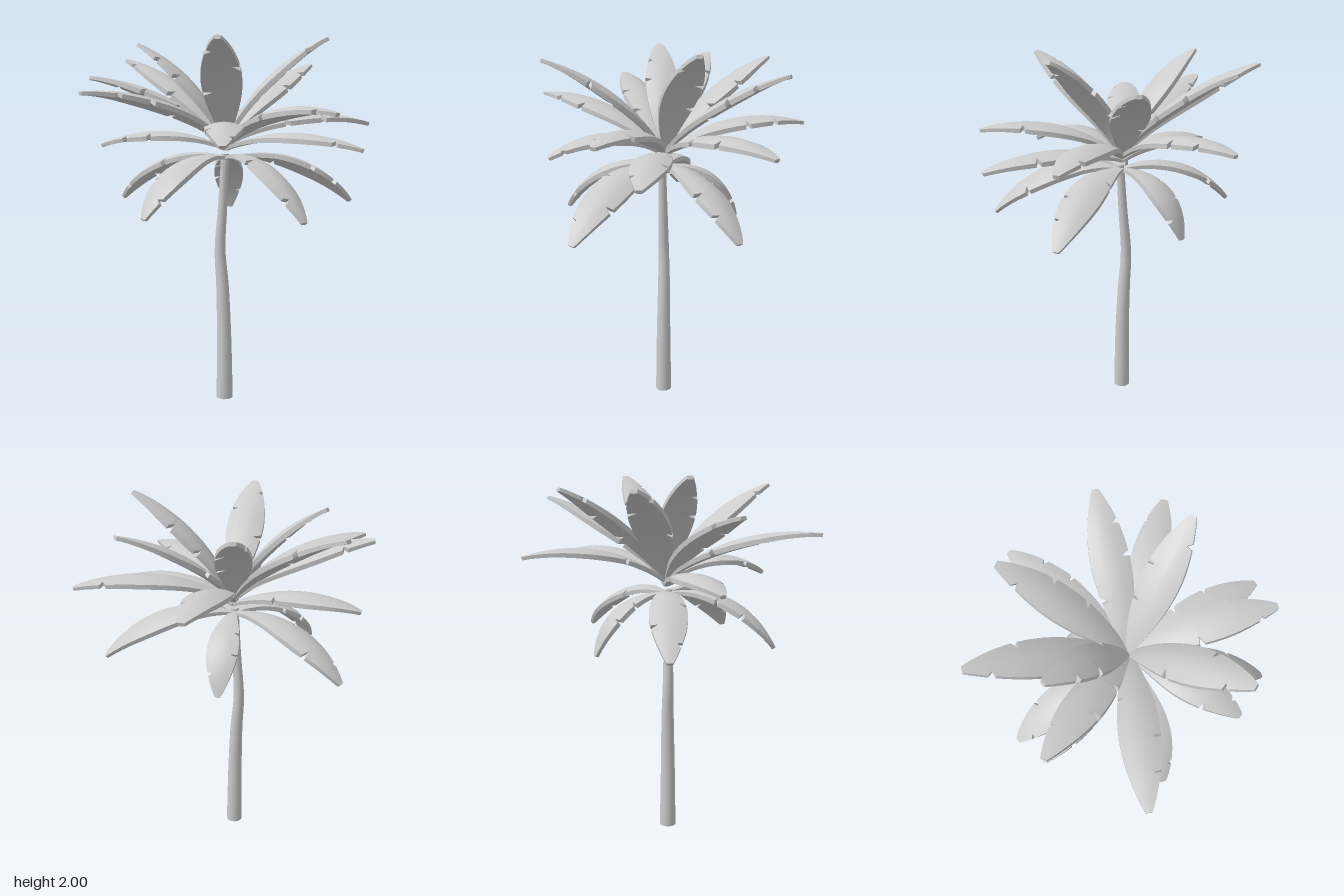
import * as THREE from 'three';
import { toCreasedNormals } from 'three/addons/utils/BufferGeometryUtils.js';

const material = new THREE.MeshStandardMaterial({ color: 0xcccccc, side: THREE.DoubleSide });

// Tip position, height of the leaf's root, bulge of the arch above its chord,
// and optional roll about the spine and width factor
const leaves = [
  // drooping bottom tier
  { tip: [-0.07, 1.04, -0.35], root: 1.36, arch: 0.115, width: 0.85 },
  { tip: [-0.67, 1.11, -0.14], root: 1.36, arch: 0.115 },
  { tip: [0.65, 1.11, -0.18], root: 1.36, arch: 0.115, roll: -0.2 },
  { tip: [-0.34, 1.08, 0.58], root: 1.36, arch: 0.125 },
  { tip: [0.46, 1.09, 0.62], root: 1.36, arch: 0.125, roll: -0.3 },
  // level tiers
  { tip: [-0.71, 1.425, 0.11], root: 1.41, arch: 0.08 },
  { tip: [0.72, 1.42, 0.32], root: 1.41, arch: 0.08 },
  { tip: [0.08, 1.45, 0.70], root: 1.42, arch: 0.12 },
  { tip: [-0.03, 1.575, -0.72], root: 1.43, arch: 0.1 },
  { tip: [0.74, 1.54, -0.32], root: 1.43, arch: 0.1 },
  { tip: [0.60, 1.60, 0.51], root: 1.43, arch: 0.1 },
  // rising tiers
  { tip: [-0.61, 1.70, 0.68], root: 1.44, arch: 0.09 },
  { tip: [-0.74, 1.79, 0.19], root: 1.44, arch: 0.08, roll: 0.1 },
  { tip: [-0.69, 1.91, -0.32], root: 1.44, arch: 0.08 },
  { tip: [0.39, 1.88, -0.49], root: 1.44, arch: 0.07 },
  { tip: [-0.22, 1.92, -0.56], root: 1.44, arch: 0.07, width: 0.95 },
  { tip: [0.06, 1.95, 0.71], root: 1.44, arch: 0.08, width: 1.05 },
  { tip: [-0.52, 1.975, 0.01], root: 1.44, arch: 0.08, width: 0.92 },
  { tip: [0.52, 1.995, 0.0], root: 1.44, arch: 0.08 },
];

// Torn notches: place along the leaf and side; each leaf shifts them a little
const notchSets = [
  [[0.38, 1], [0.63, 1], [0.82, -1]],
  [[0.45, -1], [0.7, 1], [0.86, -1]],
  [[0.33, 1], [0.58, -1], [0.78, -1]],
];

// Narrow stalk end, broad middle, rounded tip
const halfWidth = t => 0.098 * Math.pow(Math.sin(Math.PI * (0.03 + 0.94 * Math.pow(t, 1.2))), 0.78);

function leafGeometry({ tip, root, arch, roll = 0, width = 1 }, index) {
  const start = new THREE.Vector3(-0.02, root, 0.07);
  const end = new THREE.Vector3(...tip);
  const chord = end.clone().sub(start);
  const level = new THREE.Vector3(chord.z, 0, -chord.x).normalize();
  const lift = chord.clone().cross(level).normalize();
  const middle = start.clone().lerp(end, 0.5).addScaledVector(lift, 2 * arch);
  const spine = new THREE.QuadraticBezierCurve3(start, middle, end);

  // Stations along the spine, closer at the tip, with three extra ones at each notch
  const notches = notchSets[index % 3].map(([t, s]) => [t + 0.013 * (index % 4), index % 2 ? -s : s]);
  const stations = [{ t: 0.97, cut: 0 }, { t: 0.99, cut: 0 }];
  for (let i = 0; i <= 16; i++) {
    const t = i / 16;
    if (notches.every(n => Math.abs(n[0] - t) > 0.03)) stations.push({ t, cut: 0 });
  }
  for (const [t, s] of notches) {
    stations.push({ t: t - 0.018, cut: 0 }, { t: t - 0.008, cut: s }, { t: t + 0.018, cut: 0 });
  }
  stations.sort((a, b) => a.t - b.t);

  // Arched slab cross-section: across the top, then back underneath
  const across = [-1, -0.5, 0, 0.5, 1];
  const positions = [], indices = [], ring = across.length * 2;
  for (const { t, cut } of stations) {
    const p = spine.getPoint(t), tangent = spine.getTangent(t);
    const side = level.clone().applyAxisAngle(tangent, roll * Math.min(1, 3 * t));
    const up = tangent.clone().cross(side).normalize();
    const w = width * halfWidth(t), thick = 0.02 + 0.01 * Math.sin(Math.PI * t);
    for (let k = 0; k < ring; k++) {
      const under = k >= across.length;
      const u = across[under ? ring - 1 - k : k];
      const offset = u * w * (u === cut ? 0.6 : 1);
      const height = 0.004 - 2.7 * offset * offset - (under ? thick * (1 - 0.15 * u * u) : 0);
      const v = p.clone().addScaledVector(side, offset).addScaledVector(up, height);
      positions.push(v.x, v.y, v.z);
    }
  }
  for (let i = 0; i < stations.length - 1; i++) {
    for (let k = 0; k < ring; k++) {
      const a = i * ring + k, b = i * ring + (k + 1) % ring;
      indices.push(a, b, a + ring, b, b + ring, a + ring);
    }
  }
  // End caps
  const last = (stations.length - 1) * ring;
  for (let k = 1; k < ring - 1; k++) {
    indices.push(0, k + 1, k, last, last + k, last + k + 1);
  }
  const geometry = new THREE.BufferGeometry();
  geometry.setAttribute('position', new THREE.Float32BufferAttribute(positions, 3));
  geometry.setIndex(indices);
  return toCreasedNormals(geometry, 0.8);
}

// Tapered trunk bent along a gentle curve
function trunkGeometry() {
  const height = 1.38;
  const bend = new THREE.CatmullRomCurve3([
    [-0.025, 0, 0.083], [-0.028, 0.35, 0.081], [-0.038, 0.65, 0.075],
    [-0.052, 0.85, 0.072], [-0.035, 1.1, 0.078], [-0.02, height, 0.085],
  ].map(p => new THREE.Vector3(...p)));
  const geometry = new THREE.CylinderGeometry(1, 1, 1, 14, 16);
  const pos = geometry.attributes.position;
  for (let i = 0; i < pos.count; i++) {
    const t = pos.getY(i) + 0.5;
    const p = bend.getPoint(t);
    const r = 0.022 + 0.024 * Math.pow(1 - t, 1.2);
    pos.setXYZ(i, p.x + pos.getX(i) * r, p.y, p.z + pos.getZ(i) * r);
  }
  return toCreasedNormals(geometry, 0.8);
}

export function createModel() {
  const palm = new THREE.Group();
  palm.name = 'palmTree';

  const trunk = new THREE.Mesh(trunkGeometry(), material);
  trunk.name = 'trunk';
  palm.add(trunk);

  const crown = new THREE.Group();
  crown.name = 'crown';
  leaves.forEach((leaf, i) => {
    const mesh = new THREE.Mesh(leafGeometry(leaf, i), material);
    mesh.name = `leaf${i + 1}`;
    crown.add(mesh);
  });
  palm.add(crown);
  return palm;
}
